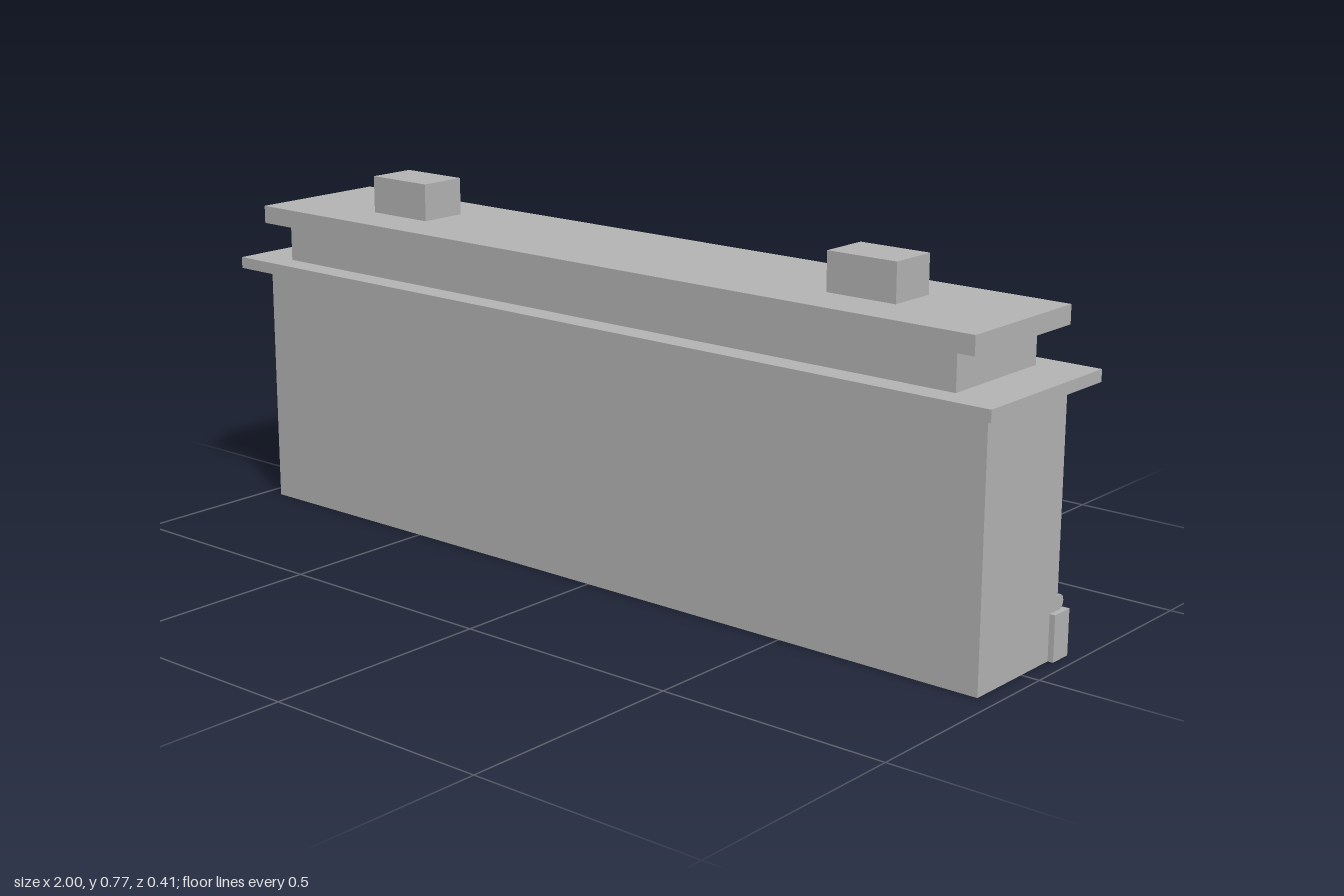
import * as THREE from 'three';

const wall = new THREE.MeshStandardMaterial({ color: 0xb4b4b4 });
wall.name = 'light grey';
const gold = new THREE.MeshStandardMaterial({ color: 0xb8862e });
gold.name = 'gold trim';

export function createModel() {
  const model = new THREE.Group();
  model.name = 'building';

  // box given by its limits on each axis
  function box(name, [x0, x1], [y0, y1], [z0, z1], mat = wall, parent = model) {
    const mesh = new THREE.Mesh(new THREE.BoxGeometry(x1 - x0, y1 - y0, z1 - z0), mat);
    mesh.position.set((x0 + x1) / 2, (y0 + y1) / 2, (z0 + z1) / 2);
    mesh.name = name;
    parent.add(mesh);
    return mesh;
  }

  // side profile of [z, y] points extruded along x, centred at cx
  function profile(name, points, width, cx, parent = model) {
    const shape = new THREE.Shape(points.map(([z, y]) => new THREE.Vector2(-z, y)));
    const geo = new THREE.ExtrudeGeometry(shape, { depth: width, bevelEnabled: false });
    geo.translate(0, 0, -width / 2);
    geo.rotateY(Math.PI / 2);
    const mesh = new THREE.Mesh(geo, wall);
    mesh.position.x = cx;
    mesh.name = name;
    parent.add(mesh);
  }

  // louvred vent: upright blades, each with a lip sloping back to the wall
  function vent(name, cx, width, y0, y1, back, depth) {
    const group = new THREE.Group();
    group.name = name;
    const count = 4, step = (y1 - y0) / count, front = back - depth;
    for (let i = 0; i < count; i++) {
      const y = y0 + i * step, top = y + step * 0.86;
      profile('louvre', [
        [front, y], [front, top], [back, top + 0.003], [back, top + 0.001],
        [front + 0.002, top - 0.002], [front + 0.002, y],
      ], width, cx, group);
    }
    model.add(group);
  }

  // main masses
  box('mainBody', [-0.96, 0.96], [0, 0.545], [-0.12, 0.15]);
  box('cornice', [-1, 1], [0.543, 0.568], [-0.174, 0.204]);
  box('upperStorey', [-0.89, 0.89], [0.568, 0.65], [-0.12, 0.15]);
  box('roofSlab', [-0.945, 0.945], [0.65, 0.689], [-0.146, 0.178]);

  // upper vents
  for (const x of [-0.435, 0, 0.435]) vent('wallVent', x, 0.33, 0.578, 0.64, -0.12, 0.009);

  // sign board
  box('signBoard', [-0.305, 0.305], [0.417, 0.505], [-0.13, -0.119]);
  box('signPanel', [-0.298, 0.298], [0.422, 0.5], [-0.134, -0.129]);

  // entrance shutter and canopy
  box('shutter', [-0.385, 0.385], [0, 0.38], [-0.128, -0.119]);
  profile('canopy', [[-0.119, 0.392], [-0.119, 0.396], [-0.19, 0.373], [-0.19, 0.369]], 0.81, 0);

  for (const s of [-1, 1]) {
    // mirrored box
    const side = (name, [a, b], y, z, mat) =>
      box(name, s > 0 ? [a, b] : [-b, -a], y, z, mat);

    side('rooftopUnit', [0.54, 0.7], [0.689, 0.77], [-0.038, 0.07]);
    vent('unitVent', s * 0.62, 0.14, 0.695, 0.765, -0.038, 0.008);

    side('entrancePost', [0.385, 0.405], [0, 0.38], [-0.139, -0.119]);
    side('plinth', [0.385, 0.972], [0, 0.096], [-0.146, -0.094]);

    // rounded moulding on the plinth
    const bead = new THREE.Mesh(new THREE.CylinderGeometry(0.016, 0.016, 0.555, 20), wall);
    bead.rotation.z = Math.PI / 2;
    bead.position.set(s * 0.6825, 0.111, -0.126);
    bead.name = 'plinthMoulding';
    model.add(bead);

    // window frame with gold trim on the top and inner edge
    side('windowOuterJamb', [0.793, 0.807], [0.12, 0.298], [-0.131, -0.119]);
    side('windowInnerJamb', [0.592, 0.606], [0.12, 0.298], [-0.131, -0.119]);
    side('windowHead', [0.606, 0.793], [0.262, 0.27], [-0.128, -0.119]);
    side('windowTopTrim', [0.585, 0.81], [0.298, 0.305], [-0.133, -0.119], gold);
    side('windowSideTrim', [0.585, 0.592], [0.12, 0.298], [-0.133, -0.119], gold);

    // canopy stay
    const a = new THREE.Vector3(s * 0.35, 0.427, -0.119);
    const b = new THREE.Vector3(s * 0.35, 0.394, -0.203);
    const stay = new THREE.Mesh(
      new THREE.TubeGeometry(new THREE.LineCurve3(a, b), 1, 0.0025, 8), wall);
    stay.name = 'canopyStay';
    model.add(stay);
  }
  return model;
}
